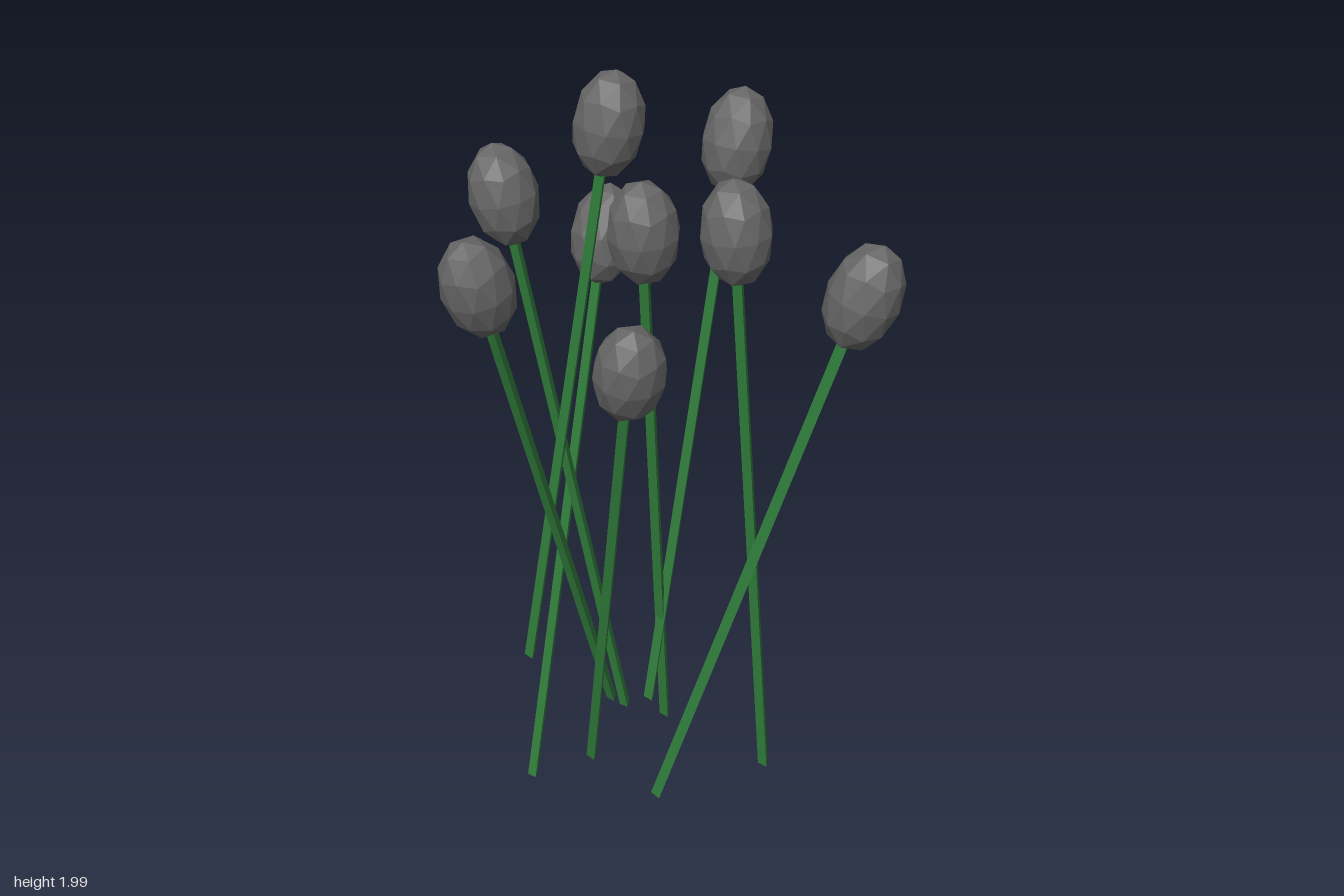
import * as THREE from 'three';

// Each flower: foot of the stem, then centre of the head
const FLOWERS = [
  [[-0.375, 0.38, 0.08], [-0.24, 1.87, -0.115]],
  [[-0.335, 0.01, 0.13], [-0.435, 1.455, -0.31]],
  [[-0.19, 0.20, -0.09], [-0.457, 1.675, 0.013]],
  [[-0.225, 0.215, -0.075], [-0.202, 1.665, 0.362]],
  [[-0.248, 0.03, -0.014], [0.085, 1.483, 0.197]],
  [[-0.07, 0.315, -0.05], [-0.07, 1.79, -0.37]],
  [[-0.082, 0.20, -0.13], [-0.05, 1.70, -0.01]],
  [[0.11, 0.21, 0.135], [0.455, 1.66, -0.142]],
  [[0.243, 0.20, -0.143], [0.108, 1.70, -0.143]],
];
const UP = new THREE.Vector3(0, 1, 0);

export function createModel() {
  const model = new THREE.Group();
  model.name = 'flowerBunch';

  const stemMat = new THREE.MeshStandardMaterial({ color: 0x2f7a3a, flatShading: true });
  const headMat = new THREE.MeshStandardMaterial({ color: 0x666666, flatShading: true });

  // Faceted egg-shaped head, with one corner of the solid on the stem axis
  const headGeo = new THREE.IcosahedronGeometry(1, 1);
  headGeo.rotateZ(Math.atan(2 / (1 + Math.sqrt(5))));
  headGeo.scale(0.084, 0.129, 0.084);

  FLOWERS.forEach(([foot, top], i) => {
    const base = new THREE.Vector3(...foot);
    const axis = new THREE.Vector3(...top).sub(base);
    const length = axis.length();

    const flower = new THREE.Group();
    flower.name = `flower${i + 1}`;
    flower.position.copy(base);
    flower.quaternion.setFromUnitVectors(UP, axis.normalize());

    // Three-sided stem, flat side to the front
    const stemGeo = new THREE.CylinderGeometry(0.016, 0.016, length, 3);
    stemGeo.rotateY(Math.PI).translate(0, length / 2, 0);
    const stem = new THREE.Mesh(stemGeo, stemMat);
    stem.name = 'stem';

    const head = new THREE.Mesh(headGeo, headMat);
    head.name = 'head';
    head.position.y = length;

    flower.add(stem, head);
    model.add(flower);
  });
  return model;
}
